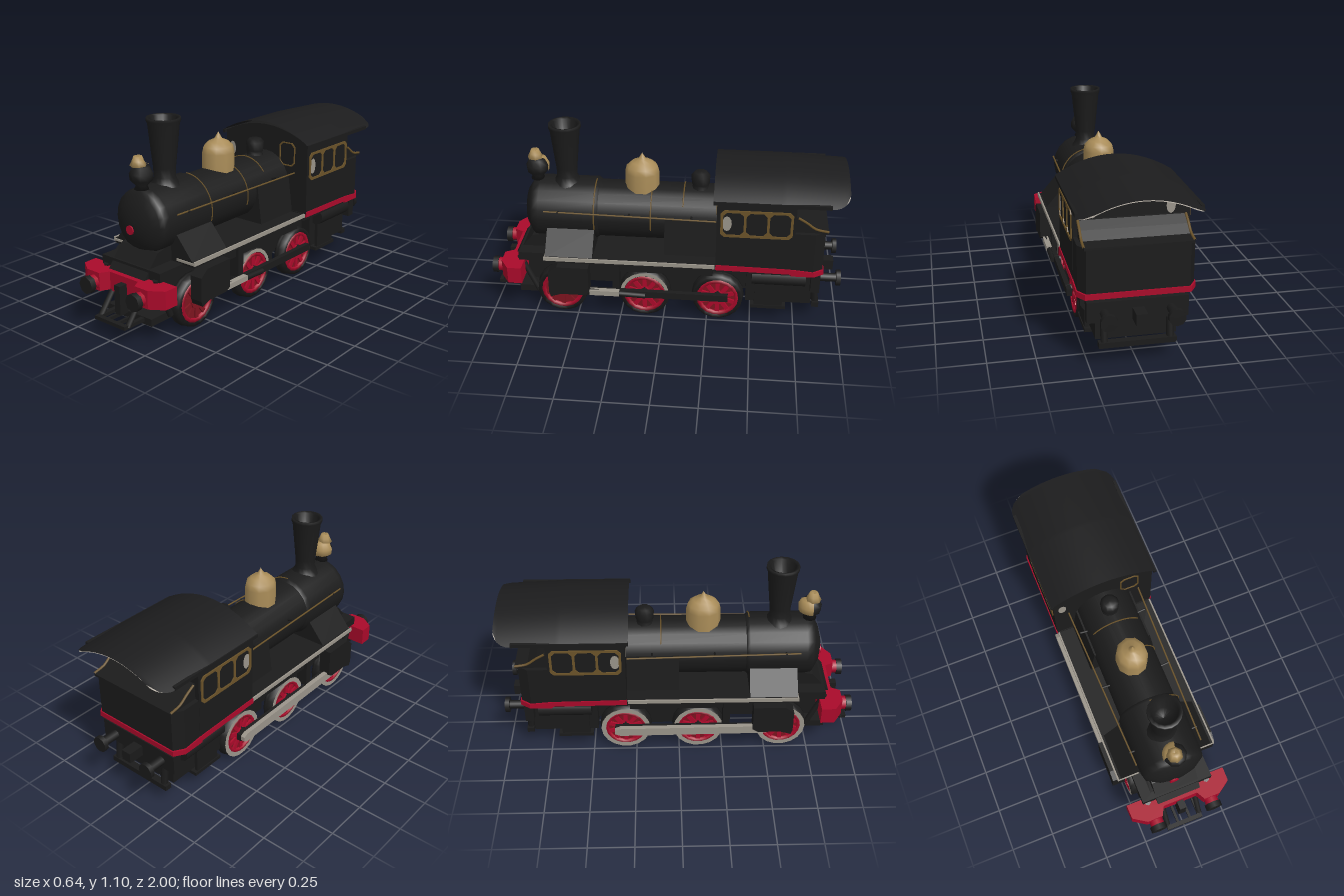
import * as THREE from 'three';
import { ParametricGeometry } from 'three/addons/geometries/ParametricGeometry.js';

const mat = (name, color, opts = {}) => Object.assign(new THREE.MeshStandardMaterial({ color, ...opts }), { name });

export function createModel() {
  const root = new THREE.Group();
  root.name = 'steamLocomotive';
  const black = mat('black', 0x1b1b1b);
  const roofBlack = mat('roofBlack', 0x1c1c1d, { side: THREE.DoubleSide });
  const red = mat('red', 0xaa0a2a);
  const darkRed = mat('darkRed', 0x7d141f);
  const brass = mat('brass', 0xa98c58);
  const bronze = mat('bronze', 0x6b5329);
  const grey = mat('grey', 0x9a948a);
  const lining = mat('roofLining', 0xaea79d, { side: THREE.DoubleSide });

  // Helpers
  const add = (name, geo, m, x = 0, y = 0, z = 0, parent = root) => {
    const mesh = new THREE.Mesh(geo, m);
    mesh.name = name;
    mesh.position.set(x, y, z);
    parent.add(mesh);
    return mesh;
  };
  // Box from its limits
  const box = (name, m, x0, x1, y0, y1, z0, z1) =>
    add(name, new THREE.BoxGeometry(x1 - x0, y1 - y0, z1 - z0), m, (x0 + x1) / 2, (y0 + y1) / 2, (z0 + z1) / 2);
  const sideBox = (name, m, s, x0, x1, ...r) => box(name, m, Math.min(s * x0, s * x1), Math.max(s * x0, s * x1), ...r);
  const lathe = (pts, seg = 16, ...arc) => new THREE.LatheGeometry(pts.map(p => new THREE.Vector2(...p)), seg, ...arc);
  // Round bar between two points
  const bar = (name, m, a, b, r, seg = 6) => {
    const A = new THREE.Vector3(...a), B = new THREE.Vector3(...b), d = B.clone().sub(A);
    const mesh = add(name, new THREE.CylinderGeometry(r, r, d.length(), seg), m, ...A.clone().add(B).multiplyScalar(0.5).toArray());
    mesh.quaternion.setFromUnitVectors(new THREE.Vector3(0, 1, 0), d.normalize());
  };
  // Polygon in x,y pulled along z
  const slab = (name, m, pts, z0, z1) =>
    add(name, new THREE.ExtrudeGeometry(new THREE.Shape(pts.map(p => new THREE.Vector2(...p))), { depth: z1 - z0, bevelEnabled: false }), m, 0, 0, z0);
  // Polygon in z,y pulled along x, on side s
  const sidePlate = (name, m, pts, s, xIn, xOut) => {
    const mesh = slab(name, m, pts.map(([z, y]) => [-z, y]), 0, xOut - xIn);
    mesh.rotation.y = Math.PI / 2;
    mesh.position.x = s > 0 ? xIn : -xOut;
  };
  // Polygon in x,z pulled upwards
  const plan = (name, m, pts, y0, y1) => {
    const mesh = slab(name, m, pts.map(([x, z]) => [x, -z]), 0, y1 - y0);
    mesh.rotation.x = -Math.PI / 2;
    mesh.position.y = y0;
  };

  // Boiler, with the domed smokebox door
  add('boiler', lathe([[0.165, -0.32], [0.165, 0.38], [0.165, 0.38], [0.18, 0.4], [0.18, 0.72], [0.172, 0.755], [0.15, 0.77],
    [0.11, 0.795], [0.05, 0.81], [0, 0.812]], 20), black, 0, 0.585, 0).rotation.x = Math.PI / 2;
  const badge = add('doorBadge', new THREE.CylinderGeometry(0.026, 0.026, 0.02, 8), red, -0.02, 0.552, 0.809);
  badge.rotation.x = Math.PI / 2;
  for (const z of [-0.1, 0.08, 0.4]) {
    const band = add('boilerBand', new THREE.TorusGeometry(z > 0.3 ? 0.18 : 0.166, 0.004, 4, 24, Math.PI * 0.6), bronze, 0, 0.585, z);
    band.rotation.z = z > 0 ? -0.3 : Math.PI * 0.2;
  }
  slab('saddle', black, [[-0.28, 0.4], [0.28, 0.4], [0.17, 0.53], [-0.17, 0.53]], 0.4, 0.67);
  slab('fireboxSides', black, [[-0.2, 0.4], [0.2, 0.4], [0.17, 0.62], [-0.17, 0.62]], -0.3, 0.0);

  // Chimney, hollow at the top
  add('chimney', lathe([[0.1, 0.72], [0.075, 0.755], [0.058, 0.79], [0.06, 0.84], [0.084, 1.07], [0.092, 1.09], [0.09, 1.105],
    [0.07, 1.1], [0.05, 1.0], [0, 0.98]]), black, 0, 0, 0.57);

  // Brass dome and safety valve
  add('steamDome', lathe([[0.097, 0.7], [0.097, 0.83], [0.088, 0.865], [0.06, 0.89], [0.025, 0.905], [0.015, 0.92], [0, 0.945]], 10), brass, 0, 0, 0.14)
    .scale.x = 0.9;
  add('safetyValve', lathe([[0.065, 0.7], [0.045, 0.755], [0.05, 0.77], [0.054, 0.82], [0.035, 0.84], [0, 0.842]], 10), black, 0, 0, -0.19);

  // Headlamp, brass on top and behind
  add('lampBody', lathe([[0, 0.75], [0.04, 0.76], [0.03, 0.78], [0.06, 0.81], [0.063, 0.845], [0.045, 0.88], [0, 0.89]], 9), black, 0, 0, 0.74);
  add('lampBack', lathe([[0.04, 0.795], [0.066, 0.815], [0.069, 0.85], [0.052, 0.885], [0, 0.9]], 6, Math.PI * 0.92, Math.PI * 0.62), brass, 0, 0, 0.74);
  add('lampTop', lathe([[0.02, 0.87], [0.045, 0.885], [0.032, 0.91], [0.022, 0.935], [0, 0.925]], 7), brass, -0.01, 0, 0.75);

  // Running boards and edge trim
  box('runningBoard', black, -0.29, 0.29, 0.375, 0.405, -0.3, 0.67);
  box('apron', black, -0.21, 0.21, 0.33, 0.38, 0.62, 0.84);
  sidePlate('frontSlope', black, [[0.66, 0.33], [0.87, 0.33], [0.77, 0.45], [0.66, 0.47]], 1, -0.13, 0.13);
  for (const s of [1, -1]) {
    sideBox('boardTrim', grey, s, 0.288, 0.297, 0.388, 0.41, -0.29, 0.675);
    sideBox('boardFrontTrim', grey, s, 0.17, 0.297, 0.39, 0.402, 0.668, 0.676);
    bar('handrail', bronze, [s * 0.19, 0.645, 0.68], [s * 0.215, 0.645, -0.29], 0.005);
    for (const z of [0.6, 0.2, -0.15]) bar('handrailPost', black, [s * 0.14, 0.63, z], [s * 0.2, 0.645, z], 0.006);
  }

  // Cab
  const cabShape = [[-0.3, 0.405], [0.3, 0.405]];
  for (let i = 0; i <= 10; i++) {
    const t = 1 - i / 5;
    cabShape.push([0.3 * t, 0.905 - 0.08 * t * t]);
  }
  slab('cab', black, cabShape, -0.72, -0.295);
  box('cabFloor', black, -0.28, 0.28, 0.36, 0.41, -0.84, -0.29);

  // Bunker with cut corners and a sweeping top
  const bunkerPlan = g => [[0.298 + g, -0.71], [0.298 + g, -0.83 - g], [0.262 + g, -0.885 - g], [-0.262 - g, -0.885 - g], [-0.298 - g, -0.83 - g], [-0.298 - g, -0.71]];
  plan('bunker', black, bunkerPlan(0), 0.37, 0.64);
  plan('bunkerStripe', red, bunkerPlan(0.007), 0.372, 0.402);
  sidePlate('bunkerTop', black, [[-0.71, 0.63], [-0.9, 0.635], [-0.9, 0.648], [-0.83, 0.658], [-0.78, 0.695], [-0.73, 0.73], [-0.71, 0.735]], 1, -0.275, 0.275);

  // Oval pane facing along z or x
  const pane = (x, y, z, ry, k = 1) => {
    const p = add('windowPane', new THREE.CircleGeometry(1, 12), grey, x, y, z);
    p.scale.set(0.024 * k, 0.042 * k, 1);
    p.rotation.y = ry;
  };
  // Rounded window frame as a thin plate with holes
  const frame = (x, y, z, ry, w, h, n, b) => {
    const rect = (path, x0, y0, x1, y1, c) => {
      [[x0 + c, y0], [x1 - c, y0], [x1, y0 + c], [x1, y1 - c], [x1 - c, y1], [x0 + c, y1], [x0, y1 - c], [x0, y0 + c]]
        .forEach(([a, d], i) => (i ? path.lineTo(a, d) : path.moveTo(a, d)));
      path.closePath();
      return path;
    };
    const shape = rect(new THREE.Shape(), -w / 2, -h / 2, w / 2, h / 2, 0.02);
    for (let i = 0; i < n; i++) {
      const x0 = -w / 2 + b / 2 + (i * (w - b)) / n;
      shape.holes.push(rect(new THREE.Path(), x0 + b / 2, -h / 2 + b, x0 + (w - b) / n - b / 2, h / 2 - b, 0.02));
    }
    add('windowFrame', new THREE.ExtrudeGeometry(shape, { depth: 0.006, bevelEnabled: false }), bronze, x, y, z).rotation.y = ry;
  };
  for (const s of [1, -1]) {
    const ry = (s * Math.PI) / 2;
    frame(s * 0.3, 0.69, -0.51, ry, 0.39, 0.165, 3, 0.014);
    pane(s * 0.303, 0.69, -0.35, ry, 1.1);
    pane(s * 0.2, 0.775, -0.723, Math.PI);
    sidePlate('sideStripe', red, [[-0.295, 0.388], [-0.7, 0.383], [-0.83, 0.372], [-0.83, 0.402], [-0.7, 0.414], [-0.295, 0.42]], s, 0.296, 0.305);
    const rail = new THREE.CatmullRomCurve3([[0.73, 0.73], [0.78, 0.7], [0.83, 0.664], [0.9, 0.65]].map(([z, y]) => new THREE.Vector3(s * 0.275, y, -z)));
    add('rearRail', new THREE.TubeGeometry(rail, 8, 0.007, 5), bronze);
  }
  frame(0.16, 0.75, -0.295, 0, 0.11, 0.14, 1, 0.006);
  pane(-0.25, 0.72, -0.291, 0);

  // Arched roof with rounded rear corners and a pale lining under the overhang
  const roof = (name, m, drop, w, z0, z1) => add(name, new ParametricGeometry((u, v, out) => {
    const z = z0 + (z1 - z0) * v, k = Math.max(0, (-z - 0.9) / 0.1);
    const x = (u * 2 - 1) * (w - 0.09 * (1 - Math.sqrt(Math.max(0, 1 - k * k))));
    out.set(x, 0.925 - drop - 0.1 * (x / 0.318) ** 2 - 0.05 * Math.max(0, -z - 0.65), z);
  }, 14, 28), m);
  roof('roof', roofBlack, 0, 0.318, -0.275, -1);
  roof('roofLining', lining, 0.006, 0.312, -0.72, -0.997);
  for (const s of [1, -1]) sideBox('roofEdge', black, s, 0.3, 0.318, 0.808, 0.828, -0.9, -0.275);

  // Underframe
  box('mainFrame', black, -0.15, 0.15, 0.17, 0.38, -0.82, 0.8);
  box('ashPan', black, -0.13, 0.13, 0.1, 0.18, -0.2, 0.0);
  box('rearFrame', black, -0.21, 0.21, 0.13, 0.37, -0.84, -0.47);
  box('rearBeam', black, -0.26, 0.26, 0.24, 0.35, -0.88, -0.83);
  box('rearGuard', black, -0.2, 0.2, 0.1, 0.13, -0.89, -0.85);
  box('rearCoupler', black, -0.03, 0.03, 0.25, 0.31, -0.97, -0.86);
  for (const s of [1, -1]) {
    bar('rearBufferStem', black, [s * 0.17, 0.29, -0.86], [s * 0.17, 0.29, -0.98], 0.025, 8);
    bar('rearBufferHead', black, [s * 0.17, 0.29, -0.975], [s * 0.17, 0.29, -1], 0.045, 10);
    bar('rearGuardPost', black, [s * 0.17, 0.12, -0.87], [s * 0.17, 0.28, -0.85], 0.02);
    sideBox('cabStep', black, s, 0.17, 0.24, 0.1, 0.12, -0.7, -0.5);
    sideBox('cabStepPlate', black, s, 0.215, 0.235, 0.11, 0.37, -0.68, -0.52);
    sideBox('lowerTank', black, s, 0.15, 0.25, 0.31, 0.38, -0.28, 0.4);
    bar('reservoir', black, [s * 0.23, 0.32, -0.5], [s * 0.23, 0.32, -0.8], 0.05, 10);
  }

  // Wheels: black tyre, painted outer face where bright, backing disc, spokes and hub
  const tyreGeo = lathe([[0.11, -0.03], [0.15, -0.03], [0.15, -0.015], [0.145, -0.01], [0.143, 0.028], [0.11, 0.028], [0.11, -0.03]], 18);
  for (const s of [1, -1]) for (const z of [0.59, 0.11, -0.31]) {
    const wheel = new THREE.Group();
    wheel.name = 'wheel';
    wheel.position.set(s * 0.205, 0.152, z);
    wheel.rotation.z = (-s * Math.PI) / 2;
    root.add(wheel);
    const spokeMat = s > 0 && z > 0.5 ? darkRed : red;
    add('tyre', tyreGeo, black, 0, 0, 0, wheel);
    if (s < 0) add('tyreFace', lathe([[0.143, 0.03], [0.116, 0.03]], 18), grey, 0, 0, 0, wheel);
    else if (z === 0.11) add('tyreFace', lathe([[0.143, 0.03], [0.122, 0.03]], 10, Math.PI * 1.05, Math.PI), grey, 0, 0, 0, wheel);
    add('wheelDisc', new THREE.CylinderGeometry(0.112, 0.112, 0.03, 18), darkRed, 0, 0, 0, wheel);
    add('wheelRing', lathe([[0.1, 0.01], [0.12, 0.01], [0.12, 0.029], [0.1, 0.029], [0.1, 0.01]], 18), red, 0, 0, 0, wheel);
    add('hub', new THREE.CylinderGeometry(0.045, 0.045, 0.06, 10), spokeMat, 0, 0.003, 0, wheel);
    for (let i = 0; i < 5; i++)
      add('spoke', new THREE.BoxGeometry(0.21, 0.02, 0.024), spokeMat, 0, 0.016, 0, wheel).rotation.y = (i * Math.PI) / 5;
  }
  for (const z of [0.59, 0.11, -0.31]) bar('axle', black, [-0.2, 0.152, z], [0.2, 0.152, z], 0.02, 8);

  // Cylinders and rods
  for (const s of [1, -1]) {
    sidePlate('cylinderBlock', black, [[0.42, 0.2], [0.45, 0.18], [0.58, 0.18], [0.64, 0.16], [0.65, 0.19], [0.65, 0.32], [0.6, 0.36], [0.42, 0.36]], s, 0.245, 0.318);
    bar('pistonRod', black, [s * 0.285, 0.19, 0.45], [s * 0.285, 0.175, 0.1], 0.016, 8);
    sideBox('crosshead', grey, s, 0.27, 0.303, 0.172, 0.202, 0.25, 0.42);
    sideBox('slideBracket', black, s, 0.2, 0.27, 0.19, 0.38, 0.25, 0.29);
    sideBox('couplingRod', black, s, 0.25, 0.278, 0.155, 0.195, -0.37, 0.62);
    for (const z of [0.11, -0.31]) bar('crankPin', black, [s * 0.22, 0.175, z], [s * 0.27, 0.175, z], 0.022, 8);
  }
  sidePlate('brightRodFace', grey, [[-0.37, 0.165], [-0.34, 0.152], [0.5, 0.16], [0.5, 0.21], [-0.34, 0.204], [-0.37, 0.19]], -1, 0.278, 0.304);

  // Front buffer beam with projecting pads, buffers and guard
  box('bufferBeam', red, -0.2, 0.2, 0.22, 0.325, 0.82, 0.89);
  box('frontCoupler', black, -0.02, 0.02, 0.13, 0.29, 0.885, 0.94);
  for (const s of [1, -1]) {
    const pad = [[0.1, 0.81], [0.1, 0.885], [0.13, 0.94], [0.22, 0.94], [0.296, 0.89], [0.298, 0.81]].map(([x, z]) => [s * x, z]);
    plan('beamEnd', red, pad, 0.225, 0.326);
    bar('bufferStem', red, [s * 0.17, 0.268, 0.93], [s * 0.17, 0.268, 0.97], 0.04, 8);
    bar('bufferHead', black, [s * 0.17, 0.265, 0.968], [s * 0.17, 0.265, 1], 0.048, 8);
    bar('guardStrut', black, [s * 0.1, 0.1, 0.97], [s * 0.1, 0.23, 0.87], 0.016);
    bar('frameStrut', black, [s * 0.18, 0.11, 0.74], [s * 0.18, 0.34, 0.84], 0.018);
    sideBox('guardSide', black, s, 0.085, 0.11, 0.095, 0.115, 0.72, 1);
    sideBox('guardBar', black, s, 0.03, 0.045, 0.095, 0.115, 0.85, 1);
  }
  box('guardFront', black, -0.11, 0.11, 0.095, 0.115, 0.975, 1);
  box('guardRear', black, -0.16, 0.16, 0.08, 0.12, 0.7, 0.86);
  return root;
}
